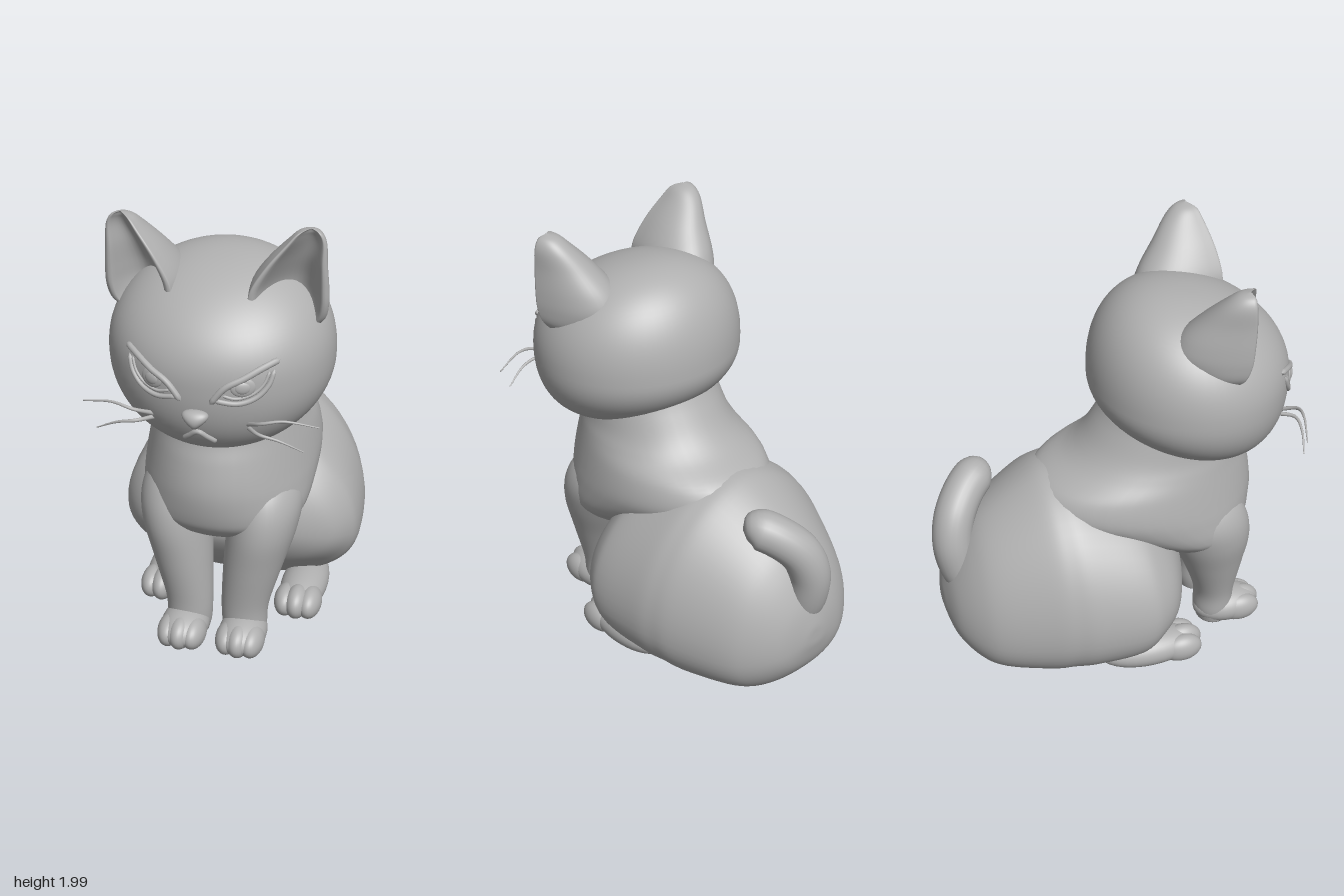
import * as THREE from 'three';

const fur = new THREE.MeshStandardMaterial({ color: 0xb0b0b0 });
fur.name = 'grey clay';
const V = (x, y, z) => new THREE.Vector3(x, y, z);
const spow = (v, e) => Math.sign(v) * Math.abs(v) ** e;

// Closed smooth surface through equal rings of points, with a pole at each end
function skin(rings) {
  const n = rings[0].length, m = rings.length;
  const pts = rings.flat();
  for (const ring of [rings[0], rings[m - 1]]) {
    pts.push(ring.reduce((a, p) => a.add(p), V(0, 0, 0)).divideScalar(n));
  }
  const tris = [];
  for (let j = 0; j < n; j++) {
    const k = (j + 1) % n;
    tris.push([m * n, k, j], [m * n + 1, (m - 1) * n + j, (m - 1) * n + k]);
    for (let i = 0; i < m - 1; i++) {
      const a = i * n + j, b = i * n + k;
      tris.push([a, b, b + n], [a, b + n, a + n]);
    }
  }
  // signed volume decides which way the corners run
  const c = V(0, 0, 0);
  let vol = 0;
  for (const [a, b, d] of tris) vol += pts[a].dot(c.crossVectors(pts[b], pts[d]));
  if (vol < 0) tris.forEach(t => t.reverse());
  const g = new THREE.BufferGeometry().setFromPoints(pts);
  g.setIndex(tris.flat());
  g.computeVertexNormals();
  return g;
}

// Smoothly resample a table of section rows
function resample(rows, steps) {
  const out = [], last = rows.length - 1;
  for (let i = 0; i <= last * steps; i++) {
    const s = Math.min(Math.floor(i / steps), last - 1), t = i / steps - s;
    const [a, b, c, d] = [s - 1, s, s + 1, s + 2].map(k => rows[Math.max(0, Math.min(last, k))]);
    out.push(b.map((v, k) => v + 0.5 * t * (c[k] - a[k] + t * (2 * a[k] - 5 * v + 4 * c[k] - d[k]
      + t * (3 * (v - c[k]) + d[k] - a[k])))));
  }
  return out;
}
const loop = (n, f) => Array.from({ length: n }, (_, j) => f(j / n * Math.PI * 2));

// Horizontal oval sections: [y, centre x, half width, front z, back z]
const column = rows => skin(resample(rows, 6).map(([y, cx, w, zf, zb]) =>
  loop(40, a => V(cx + w * Math.cos(a), y, (zf + zb) / 2 + (zf - zb) / 2 * Math.sin(a)))));

// Tapered tube along a curve
function tube(points, radius, n = 24, sides = 10) {
  const curve = new THREE.CatmullRomCurve3(points);
  const f = curve.computeFrenetFrames(n);
  return skin(f.tangents.map((_, i) => {
    const p = curve.getPointAt(i / n), r = radius(i / n);
    return loop(sides, a => p.clone().addScaledVector(f.normals[i], r * Math.cos(a))
      .addScaledVector(f.binormals[i], r * Math.sin(a)));
  }));
}
const rounded = (r, e = 0.06) => t => {
  const d = Math.max(0, 1 - Math.min(t, 1 - t) / e);
  return r * Math.sqrt(Math.max(0.003, 1 - d * d));
};

// Ellipsoid, optionally cut flat where it meets the ground
function blob(x, y, z, rx, ry, rz, floor = -1) {
  const rings = [];
  for (let i = 1; i < 24; i++) {
    const b = i / 24 * Math.PI;
    rings.push(loop(32, a => V(x + rx * Math.sin(b) * Math.cos(a),
      Math.max(floor, y + ry * Math.cos(b)), z + rz * Math.sin(b) * Math.sin(a))));
  }
  return skin(rings);
}

// Head: round from above, slightly squarish from the side, deeper under the chin and flatter on the brow
const H = { y: 1.40, z: 0.355, rx: 0.485, up: 0.41, down: 0.365, rz: 0.447, brow: 0.08, chin: 0.11, p: 2.2 };
const headHeight = (up, Z) => up ? H.up - H.brow * Z : H.down + H.chin * Z;
function headGeometry() {
  const rings = [];
  for (let i = 1; i < 48; i++) {
    const b = i / 48 * Math.PI, S = Math.sin(b) ** (2 / H.p), Y = spow(Math.cos(b), 2 / H.p);
    rings.push(loop(64, a => {
      const Z = S * Math.sin(a);
      return V(S * Math.cos(a) * H.rx, H.y + Y * headHeight(Y > 0, Z), H.z + Z * H.rz);
    }));
  }
  return skin(rings);
}
// Point on the face, raised by lift
function face(x, y, lift = 0) {
  let Z = 0.9;
  for (let i = 0; i < 30; i++) {
    const Y = Math.abs(y - H.y) / headHeight(y > H.y, Z);
    const q = Math.max(0, 1 - Y ** H.p) ** (2 / H.p) - (x / H.rx) ** 2;
    Z = (Z + Math.sqrt(Math.max(0, q))) / 2;
  }
  return V(x, y, H.z + Z * H.rz + lift);
}

// Ear: [y, centre x, half width, rim z, depth], round behind and hollow in front
function earGeometry(s) {
  const rows = [[1.54, 0.28, 0.12, 0.45, 0.15], [1.6, 0.3, 0.155, 0.49, 0.25], [1.67, 0.314, 0.159, 0.51, 0.31],
    [1.75, 0.322, 0.152, 0.515, 0.29], [1.85, 0.349, 0.118, 0.51, 0.21], [1.94, 0.384, 0.078, 0.495, 0.125],
    [1.985, 0.394, 0.046, 0.485, 0.065], [2.0, 0.397, 0.006, 0.475, 0.008]];
  return skin(resample(rows, 6).map(([y, cx, w, z, d]) => loop(48, a => {
    const u = Math.cos(a), v = Math.sin(a), back = Math.max(0, -v) ** 0.85;
    const hollow = 0.55 * d * Math.max(0, 1 - (u / 0.82) ** 2);
    const dz = v < 0 ? -d * back : 0.02 * Math.min(1, w / 0.05) * Math.sqrt(v) - hollow;
    return V(s * (cx + w * u - 0.25 * d * back), y, z + dz - 0.33 * w * u);
  })));
}

export function createModel() {
  const model = new THREE.Group();
  const add = (name, geo, parent = model) => {
    const mesh = new THREE.Mesh(geo, fur);
    mesh.name = name;
    parent.add(mesh);
    return mesh;
  };

  // Rump and haunches: [z, half width, bottom, top]
  const rump = [[0.28, 0.03, 0.44, 0.5], [0.27, 0.23, 0.35, 0.6], [0.2, 0.43, 0.23, 0.73], [0.1, 0.527, 0.13, 0.85],
    [0, 0.555, 0.05, 0.92], [-0.2, 0.542, 0.018, 0.98], [-0.3, 0.52, 0.014, 0.985], [-0.4, 0.488, 0.01, 0.95],
    [-0.6, 0.393, 0.035, 0.815], [-0.7, 0.315, 0.09, 0.705], [-0.78, 0.2, 0.19, 0.56], [-0.815, 0.075, 0.3, 0.44],
    [-0.82, 0.01, 0.36, 0.38]];
  add('rump', skin(resample(rump, 6).map(([z, w, lo, hi]) => {
    const mid = lo + (hi - lo) * 0.38;
    return loop(64, a => {
      const c = Math.cos(a), s = Math.sin(a), e = s > 0 ? 1.06 : 0.86;
      return V(w * spow(c, e), mid + (s > 0 ? hi - mid : mid - lo) * spow(s, e), z);
    });
  })));

  // Neck, chest and shoulders, running back into the rump
  add('chest', column([[1.27, 0, 0.28, 0.53, -0.02], [1.2, 0, 0.295, 0.58, -0.06], [1.1, 0, 0.312, 0.6, -0.13],
    [1.03, 0, 0.335, 0.612, -0.21], [0.95, 0, 0.363, 0.638, -0.36], [0.85, 0, 0.383, 0.658, -0.4],
    [0.77, 0, 0.386, 0.66, -0.3], [0.68, 0, 0.375, 0.645, -0.1], [0.62, 0, 0.35, 0.62, 0.05],
    [0.565, 0, 0.29, 0.565, 0.1], [0.525, 0, 0.18, 0.49, 0.16], [0.51, 0, 0.02, 0.36, 0.3]]));

  add('head', headGeometry());

  // Nose: rounded triangle, narrow at the bottom
  const nose = blob(0, 0, 0, 0.062, 0.042, 0.042);
  const np = nose.attributes.position;
  for (let i = 0; i < np.count; i++) np.setX(i, np.getX(i) * (0.78 + np.getY(i) * 12));
  nose.computeVertexNormals();
  add('nose', nose).position.set(0, 1.262, 0.803);

  // Mouth
  add('mouth', tube([[-0.07, 1.13], [-0.035, 1.162], [0, 1.188], [0.035, 1.162], [0.07, 1.13]]
    .map(([x, y]) => face(x, y, 0.003)), rounded(0.012)));

  for (const s of [1, -1]) {
    const side = new THREE.Group();
    side.name = s > 0 ? 'leftSide' : 'rightSide';
    model.add(side);
    add('ear', earGeometry(s), side);

    // Eye with a scowling upper lid
    const line = (pts, lift) => pts.map(([x, y]) => face(s * x, y, lift));
    add('upperLid', tube(line([[0.322, 1.51], [0.26, 1.485], [0.19, 1.447], [0.12, 1.41], [0.06, 1.335]], 0.002),
      rounded(0.014)), side);
    add('lowerLid', tube(line([[0.305, 1.475], [0.285, 1.41], [0.24, 1.36], [0.17, 1.337], [0.075, 1.352]], 0.001),
      rounded(0.011)), side);
    add('innerLid', tube(line([[0.288, 1.47], [0.268, 1.417], [0.228, 1.378], [0.165, 1.36], [0.11, 1.375]], 0),
      rounded(0.007)), side);
    for (const [name, r, lift] of [['iris', 0.052, -0.002], ['pupil', 0.034, 0.003]]) {
      const eye = add(name, blob(0, 0, 0, r, r * 0.8, 0.012), side);
      eye.position.copy(face(s * 0.19, 1.41, lift));
      eye.rotation.set(-0.05, s * 0.4, 0);
    }

    // Whiskers
    const thin = t => 0.01 * (1 - 0.75 * t);
    add('upperWhisker', tube([face(s * 0.2, 1.225, -0.01), V(s * 0.27, 1.265, 0.783), V(s * 0.36, 1.283, 0.775),
      V(s * 0.5, 1.252, 0.735)], thin), side);
    add('lowerWhisker', tube([face(s * 0.2, 1.205, -0.01), V(s * 0.26, 1.212, 0.78), V(s * 0.34, 1.195, 0.78),
      V(s * 0.44, 1.142, 0.752)], thin), side);

    // Front leg, growing out of the chest
    add('frontLeg', column([[0.86, 0.18, 0.06, 0.4, 0.2], [0.8, 0.19, 0.13, 0.53, 0.15], [0.7, 0.2, 0.16, 0.59, 0.16],
      [0.57, 0.192, 0.155, 0.612, 0.23], [0.4, 0.162, 0.134, 0.598, 0.31], [0.2, 0.13, 0.108, 0.575, 0.38],
      [0.08, 0.127, 0.1, 0.57, 0.385], [0.012, 0.127, 0.085, 0.55, 0.4]]
      .map(([y, x, ...r]) => [y, s * x, ...r])), side);

    // Paws: [name, x, z centre, half length, toe z]
    for (const [name, x, z, len, toeZ] of [['frontPaw', 0.134, 0.54, 0.16, 0.61], ['hindPaw', 0.32, 0.09, 0.245, 0.25]]) {
      add(name, blob(s * x, 0.07, z, 0.107, 0.086, len, 0.01), side);
      for (const k of [-1, 0, 1]) {
        add(name + 'Toe', blob(s * x + k * 0.055, k ? 0.064 : 0.07, toeZ - Math.abs(k) * 0.015,
          0.055, k ? 0.07 : 0.076, 0.098, 0.01), side);
      }
    }
  }

  // Curled tail
  add('tail', tube([V(-0.02, 0.42, -0.68), V(-0.02, 0.55, -0.735), V(-0.01, 0.68, -0.754), V(0.03, 0.79, -0.73),
    V(0.1, 0.87, -0.665), V(0.16, 0.906, -0.595), V(0.2, 0.9, -0.55)], rounded(0.093, 0.14), 48, 24));
  return model;
}
